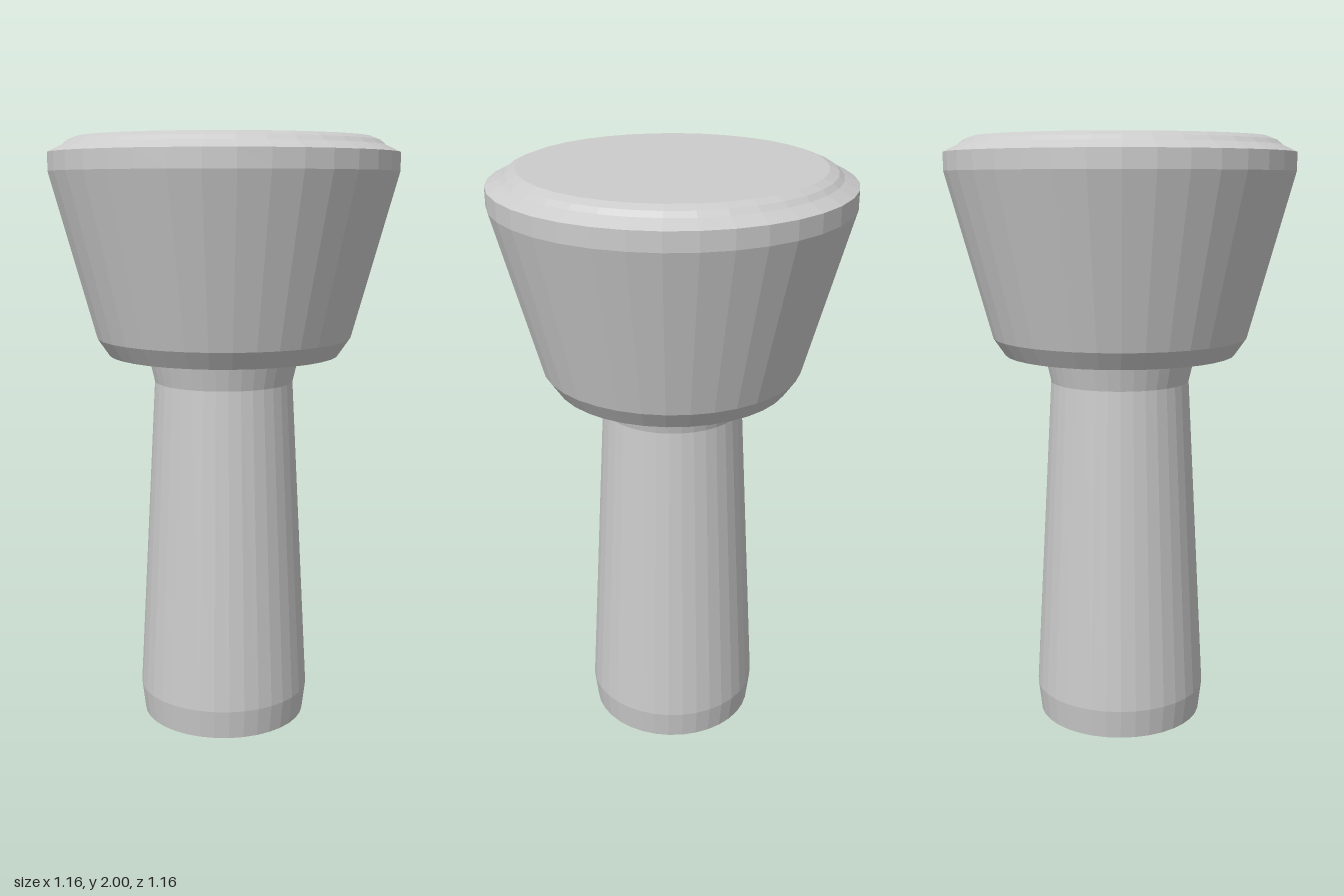
import * as THREE from 'three';

const SIDES = 36;

// Turned part from a [radius, y] profile listed bottom to top
function turned(name, profile) {
  const points = profile.map(([r, y]) => new THREE.Vector2(r, y));
  const material = new THREE.MeshStandardMaterial({ color: 0xcccccc, flatShading: true });
  const mesh = new THREE.Mesh(new THREE.LatheGeometry(points, SIDES), material);
  mesh.name = name;
  return mesh;
}

export function createModel() {
  const model = new THREE.Group();
  model.name = 'knob';

  // Tapered stem, bevelled at the foot and flared under the head
  model.add(turned('stem', [
    [0, 0], [0.283, 0], [0.295, 0.1], [0.236, 1.19], [0.258, 1.285],
  ]));

  // Conical head with a bevelled underside and a short upright rim
  model.add(turned('head', [
    [0.258, 1.285], [0.39, 1.285], [0.43, 1.343], [0.58, 1.89], [0.58, 1.95],
  ]));

  // Stepped cap with a flat top
  model.add(turned('cap', [
    [0.58, 1.95], [0.532, 1.973], [0.515, 1.988], [0.485, 2], [0, 2],
  ]));

  return model;
}
